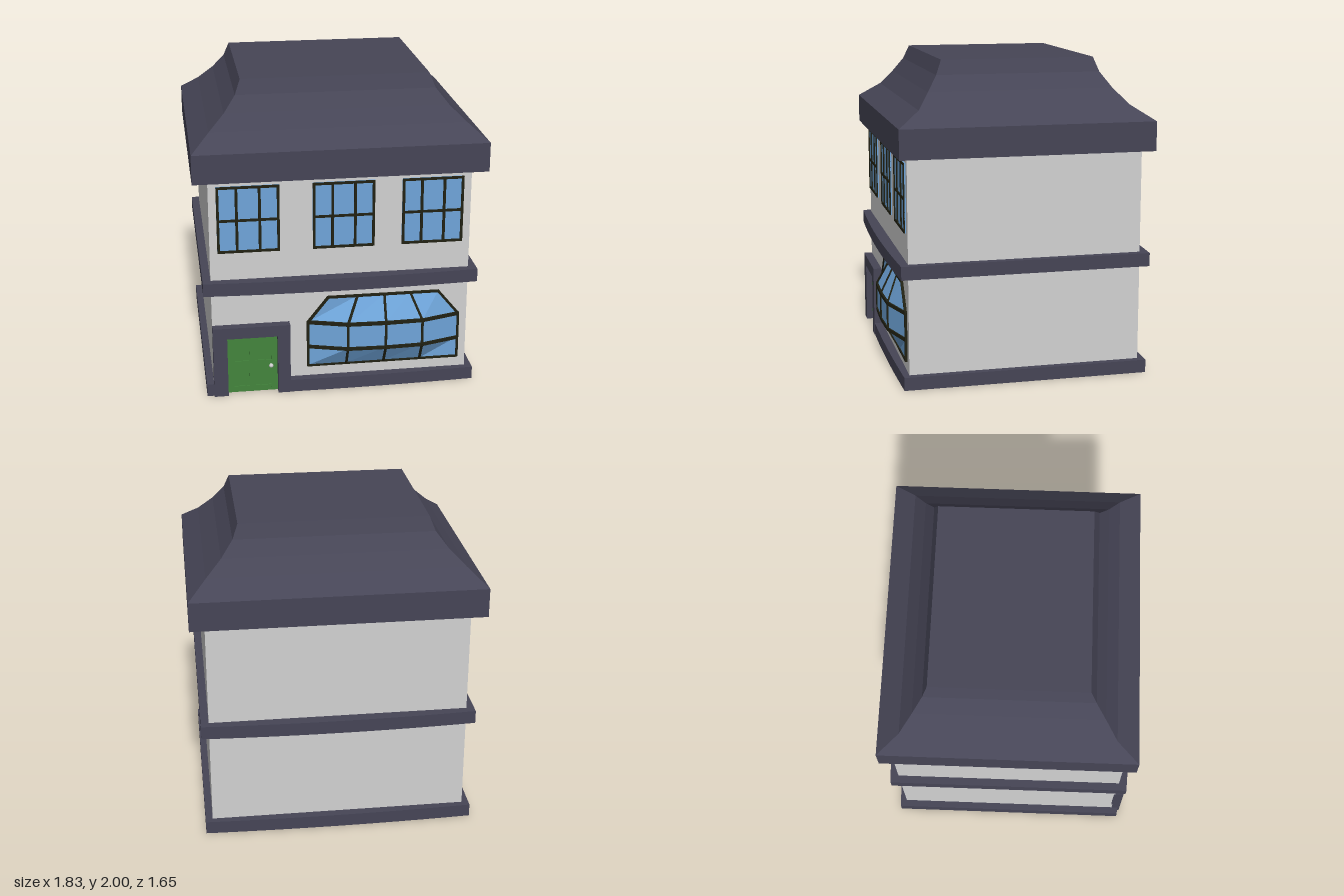
import * as THREE from 'three';

const mat = (name, color, opts = {}) => {
  const m = new THREE.MeshStandardMaterial({ color, ...opts });
  m.name = name;
  return m;
};

export function createModel() {
  const slate = mat('slate', 0x464556);
  const plaster = mat('plaster', 0xd2d2d2);
  const glass = mat('glass', 0x6fa5da, { side: THREE.DoubleSide });
  const frame = mat('windowFrame', 0x212113);
  const green = mat('doorGreen', 0x43853c);
  const metal = mat('metal', 0xcfcfcf);

  const house = new THREE.Group();
  house.name = 'house';
  const add = (name, geo, material, parent = house) => {
    const m = new THREE.Mesh(geo, material);
    m.name = name;
    parent.add(m);
    return m;
  };
  // box given by its minimum and maximum on each axis
  const box = (name, x0, x1, y0, y1, z0, z1, material, parent) =>
    add(name, new THREE.BoxGeometry(x1 - x0, y1 - y0, z1 - z0), material, parent)
      .position.set((x0 + x1) / 2, (y0 + y1) / 2, (z0 + z1) / 2);
  const group = (name) => {
    const g = new THREE.Group();
    g.name = name;
    house.add(g);
    return g;
  };
  // flat-faced geometry from a list of quads (counter-clockwise corners)
  const quads = (list) => {
    const p = [];
    for (const [a, b, c, d] of list) p.push(...a, ...b, ...c, ...a, ...c, ...d);
    const g = new THREE.BufferGeometry();
    g.setAttribute('position', new THREE.Float32BufferAttribute(p, 3));
    g.computeVertexNormals();
    return g;
  };

  // walls
  box('walls', -0.82, 0.82, 0.04, 1.5, -0.75, 0.73, plaster);

  // ledges running round the house, slightly bowed at front and back
  const ledge = (name, y0, y1, hx, front, back, bow, notch) => {
    const n = 16, s = new THREE.Shape();
    const bulge = (x) => bow * (1 - (x / hx) ** 2);
    const xs = Array.from({ length: n + 1 }, (_, i) => -hx + (2 * hx * i) / n);
    let pts = xs.map((x) => [x, -(front + bulge(x))]);
    if (notch) {
      const [a, b, z] = notch;
      pts = [
        ...pts.filter(([x]) => x < a),
        [a, -(front + bulge(a))], [a, -z], [b, -z], [b, -(front + bulge(b))],
        ...pts.filter(([x]) => x > b),
      ];
    }
    pts.push(...xs.reverse().map((x) => [x, back + bulge(x)]));
    pts.forEach(([x, y], i) => (i ? s.lineTo(x, y) : s.moveTo(x, y)));
    const g = new THREE.ExtrudeGeometry(s, { depth: y1 - y0, bevelEnabled: false });
    g.rotateX(-Math.PI / 2).translate(0, y0, 0);
    add(name, g, slate);
  };
  ledge('baseLedge', 0, 0.083, 0.865, 0.768, 0.79, 0.018, [-0.73, -0.41, 0.725]);
  ledge('middleLedge', 0.7, 0.785, 0.87, 0.78, 0.8, 0.025);

  // roof: rectangular rings [half width, front z, back z, y]
  const rings = [
    [0.915, 0.79, -0.81, 1.44], [0.915, 0.79, -0.81, 1.625],
    [0.8, 0.65, -0.67, 1.72], [0.7, 0.575, -0.59, 1.815],
    [0.625, 0.51, -0.527, 1.91], [0.59, 0.473, -0.495, 2],
  ].map(([w, f, b, y]) => [[-w, y, f], [w, y, f], [w, y, b], [-w, y, b]]);
  const roofFaces = [[...rings[0]].reverse(), rings[rings.length - 1]];
  for (let r = 0; r < rings.length - 1; r++)
    for (let i = 0; i < 4; i++) {
      const j = (i + 1) % 4;
      roofFaces.push([rings[r][i], rings[r][j], rings[r + 1][j], rings[r + 1][i]]);
    }
  add('roof', quads(roofFaces), slate);

  // upper windows
  for (const cx of [-0.578, 0.016, 0.577]) {
    const w = group('upperWindow'), x0 = cx - 0.194, x1 = cx + 0.194;
    box('pane', x0, x1, 0.968, 1.402, 0.729, 0.738, glass, w);
    for (const [i, t] of [-0.186, -0.071, 0.071, 0.186].entries()) {
      const h = i % 3 ? 0.0085 : 0.008;
      box('upright', cx + t - h, cx + t + h, 0.968, 1.402, 0.737, 0.745, frame, w);
    }
    for (const y of [0.976, 1.18, 1.394])
      box('crossbar', x0, x1, y - 0.008, y + 0.008, 0.737, 0.7445, frame, w);
  }

  // bay window: four rows of five points
  const bay = group('bayWindow');
  const xs = [-0.212, 0.035, 0.278, 0.515, 0.763];
  const zs = [0.74, 0.812, 0.82, 0.812, 0.74];
  const topX = [-0.082, 0.105, 0.278, 0.447, 0.628];
  const grid = [
    xs.map((x) => [x, 0.16, 0.74]),
    xs.map((x, i) => [x, 0.295, zs[i]]),
    xs.map((x, i) => [x, 0.465, zs[i]]),
    topX.map((x) => [x, 0.63, 0.74]),
  ];
  const panes = [];
  for (let r = 0; r < 3; r++)
    for (let i = 0; i < 4; i++)
      panes.push([grid[r][i], grid[r][i + 1], grid[r + 1][i + 1], grid[r + 1][i]]);
  add('bayPanes', quads(panes), glass, bay);
  const bar = (a, b, width) => {
    const p = new THREE.Vector3(...a), q = new THREE.Vector3(...b);
    const m = add('glazingBar', new THREE.BoxGeometry(width, 0.016, p.distanceTo(q) + 0.008), frame, bay);
    m.position.copy(p).add(q).multiplyScalar(0.5);
    // keep the broad side of the bar towards the front
    const dir = q.sub(p).normalize();
    const side = new THREE.Vector3().crossVectors(new THREE.Vector3(0, 0, 1), dir).normalize();
    const out = new THREE.Vector3().crossVectors(dir, side);
    m.quaternion.setFromRotationMatrix(new THREE.Matrix4().makeBasis(side, out, dir));
  };
  grid.forEach((row, r) => row.forEach((p, i) => {
    if (i < 4) bar(p, row[i + 1], r === 1 || r === 2 ? 0.023 : 0.014);
    if (r < 3) bar(p, grid[r + 1][i], 0.015);
  }));

  // door surround
  const arch = new THREE.Shape();
  [[-0.82, 0], [-0.73, 0], [-0.73, 0.4], [-0.41, 0.4], [-0.41, 0], [-0.33, 0], [-0.33, 0.475], [-0.82, 0.475]]
    .forEach(([x, y], i) => (i ? arch.lineTo(x, y) : arch.moveTo(x, y)));
  const archGeo = new THREE.ExtrudeGeometry(arch, { depth: 0.066, bevelEnabled: false });
  add('doorSurround', archGeo.translate(0, 0, 0.72), slate);

  // panelled door with knob
  const door = group('door');
  box('doorSlab', -0.73, -0.41, 0.002, 0.4, 0.72, 0.738, green, door);
  for (const x of [-0.73, -0.59, -0.45])
    box('stile', x, x + 0.04, 0.002, 0.4, 0.737, 0.744, green, door);
  for (const y of [0.002, 0.18, 0.36])
    box('rail', -0.73, -0.41, y, y + 0.04, 0.737, 0.7435, green, door);
  const stem = add('knobStem', new THREE.CylinderGeometry(0.006, 0.006, 0.02, 10), metal, door);
  stem.rotation.x = Math.PI / 2;
  stem.position.set(-0.453, 0.187, 0.752);
  add('knob', new THREE.SphereGeometry(0.014, 14, 10), metal, door).position.set(-0.453, 0.187, 0.766);

  return house;
}
